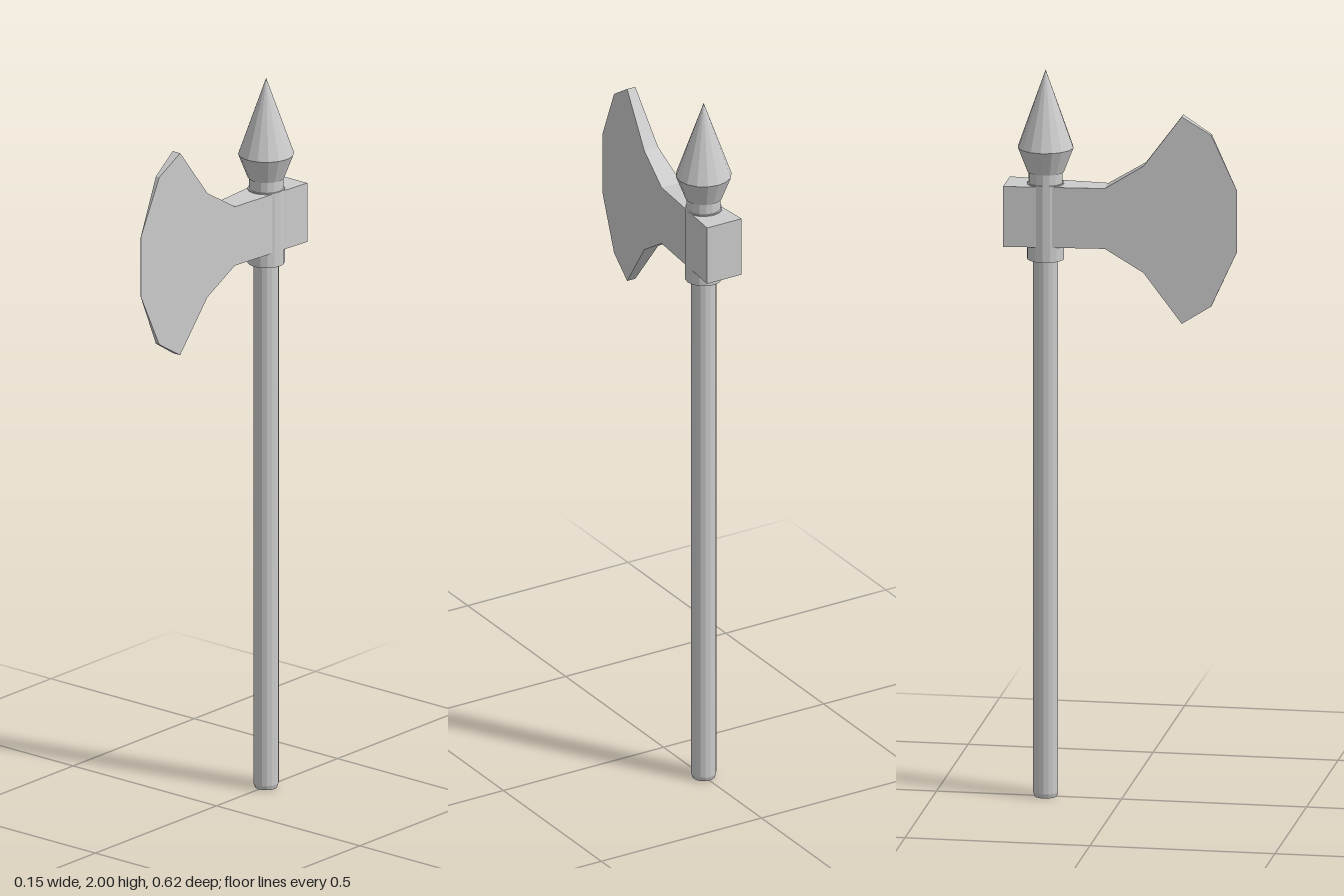
import * as THREE from 'three';

const material = new THREE.MeshStandardMaterial({ color: 0xcccccc, flatShading: true });
const SHAFT_Z = -0.205;

// Sixteen-sided turned part around the shaft axis; profile is [radius, y] from bottom to top
function turned(name, profile) {
  const points = profile.map(([r, y]) => new THREE.Vector2(r, y));
  const mesh = new THREE.Mesh(new THREE.LatheGeometry(points, 16), material);
  mesh.position.z = SHAFT_Z;
  mesh.name = name;
  return mesh;
}

// Hammer block and blade in one wedge, thick at the back and sharp at the front
function axeHead() {
  const midY = 1.604;
  const upper = [ // [z, height above the middle]
    [-0.311, 0.083], [-0.04, 0.083], [0.063, 0.147], [0.165, 0.285],
    [0.243, 0.236], [0.312, 0.085],
  ];
  const lower = upper.map(([z, h]) => [z, -h]).reverse();
  const outline = [...upper, ...lower].map(([z, h]) => new THREE.Vector2(z, midY + h));
  const geometry = new THREE.ExtrudeGeometry(new THREE.Shape(outline), {
    depth: 1, steps: 1, bevelEnabled: false,
  });
  geometry.translate(0, 0, -0.5).rotateY(-Math.PI / 2);

  // Taper the thickness evenly towards the cutting edge
  const pos = geometry.attributes.position;
  for (let i = 0; i < pos.count; i++) {
    const halfWidth = Math.max(0.0005, 0.054 * (0.312 - pos.getZ(i)) / 0.623);
    pos.setX(i, Math.sign(pos.getX(i)) * halfWidth);
  }
  geometry.computeVertexNormals();
  const mesh = new THREE.Mesh(geometry, material);
  mesh.name = 'axeHead';
  return mesh;
}

export function createModel() {
  const model = new THREE.Group();
  model.name = 'battleAxe';
  model.add(
    // Long pole with a softened foot
    turned('shaft', [[0, 0], [0.03, 0], [0.034, 0.012], [0.034, 1.5]]),
    // Socket holding the head, with a narrower neck above
    turned('collar', [[0.03, 1.48], [0.05, 1.48], [0.05, 1.69], [0.046, 1.69], [0.046, 1.722]]),
    // Flared spear point
    turned('spike', [[0, 1.72], [0.049, 1.72], [0.075, 1.787], [0, 2]]),
    axeHead(),
  );
  return model;
}
